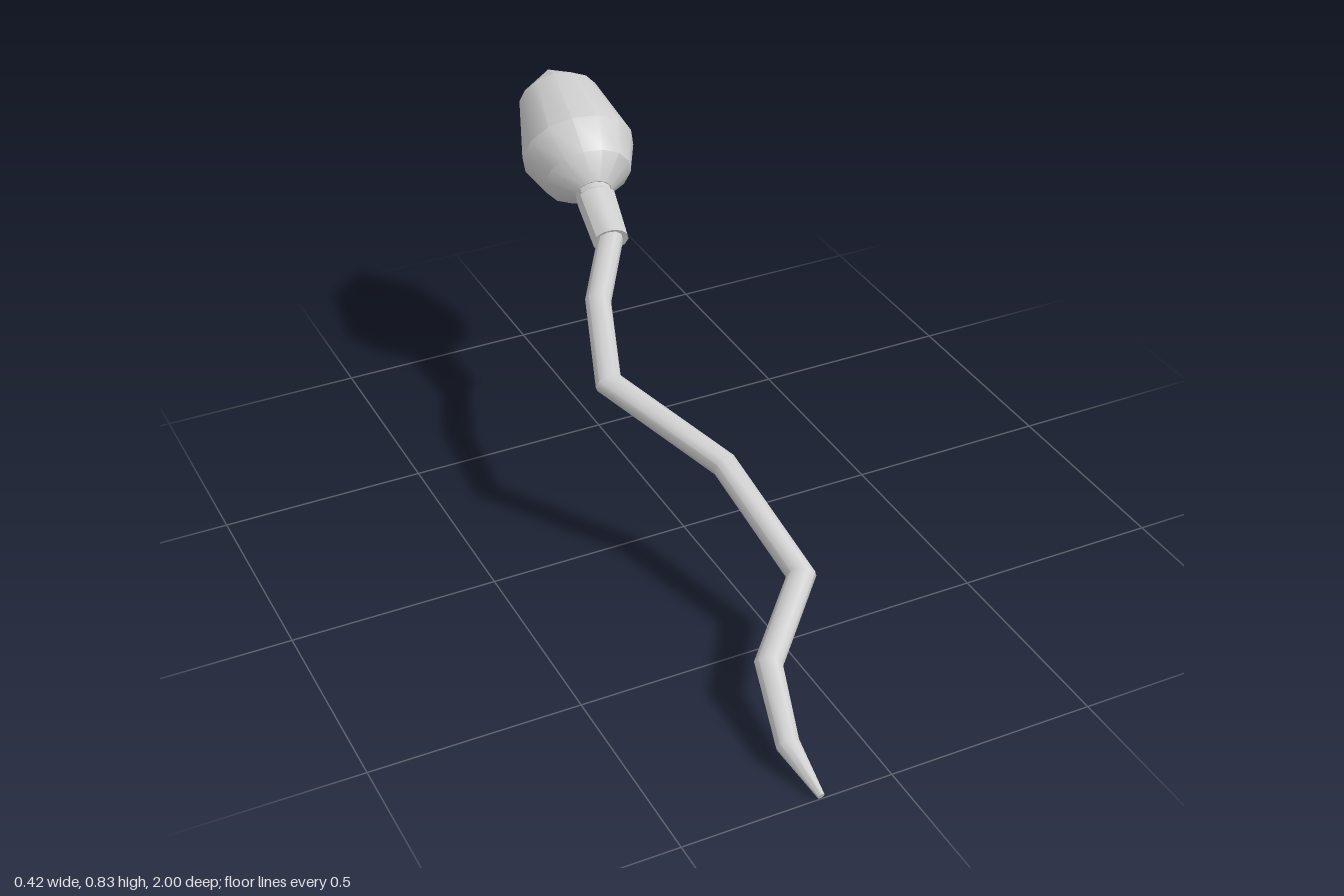
import * as THREE from 'three';
import { toCreasedNormals } from 'three/addons/utils/BufferGeometryUtils.js';

const V = (x, y, z) => new THREE.Vector3(x, y, z);
// normal of the slanted plane the whole body lies in
const planeUp = V(0, 0.93, 0.366).normalize();

// Skin a row of elliptical rings: { c: centre, d: axis, w: half width, h: half height }
function loft(name, rings, sides, crease) {
  const pts = rings.map(({ c, d, w, h }) => {
    const u = d.clone().cross(planeUp).normalize();
    const v = u.clone().cross(d).normalize();
    return Array.from({ length: sides }, (_, j) => {
      const a = (j / sides) * Math.PI * 2;
      return c.clone().addScaledVector(u, w * Math.cos(a)).addScaledVector(v, -h * Math.sin(a));
    });
  });
  const pos = [];
  const tri = (...p) => p.forEach((q) => pos.push(q.x, q.y, q.z));
  for (let i = 0; i < rings.length - 1; i++) {
    for (let j = 0; j < sides; j++) {
      const k = (j + 1) % sides;
      if (rings[i].w > 0) tri(pts[i][j], pts[i][k], pts[i + 1][j]);
      if (rings[i + 1].w > 0) tri(pts[i][k], pts[i + 1][k], pts[i + 1][j]);
    }
  }
  const geo = new THREE.BufferGeometry();
  geo.setAttribute('position', new THREE.Float32BufferAttribute(pos, 3));
  const mesh = new THREE.Mesh(toCreasedNormals(geo, crease),
    new THREE.MeshStandardMaterial({ color: 0xcccccc }));
  mesh.name = name;
  return mesh;
}

// Rings along a straight axis; profile rows are [distance, half width, half height]
function straight(name, from, to, profile, sides, crease) {
  const d = to.clone().sub(from).normalize();
  const rings = profile.map(([s, w, h]) => ({ c: from.clone().addScaledVector(d, s), d, w, h }));
  return loft(name, rings, sides, crease);
}

// Zigzag tail with mitred bends and a tapered tip
function makeTail() {
  const path = [[-0.172, 1.0], [-0.183, 0.87], [-0.135, 0.69], [0.037, 0.52], [0, 0.21],
    [-0.163, -0.07], [-0.087, -0.29], [0.02, -0.45], [0.03, -0.52]]
    .map(([x, z], i) => V(x, i === 0 ? 0.009 : 0.055 + (0.87 - z) * 0.393, z));
  const rings = path.map((c, i) => {
    const before = c.clone().sub(path[Math.max(i - 1, 0)]).normalize();
    const after = path[Math.min(i + 1, path.length - 1)].clone().sub(c).normalize();
    const d = before.clone().add(after).normalize();
    const mitre = Math.max(d.dot(after), d.dot(before));
    const r = i === 0 ? 0.008 : i === 1 ? 0.026 : 0.03;
    return { c, d, w: (r * 1.05) / mitre, h: r };
  });
  rings.unshift({ ...rings[0], w: 0, h: 0 });
  return loft('tail', rings, 10, 0.66);
}

export function createModel() {
  const group = new THREE.Group();
  group.name = 'model';
  group.add(makeTail());

  // sleeve joining tail and head, with a narrower collar at its upper end
  group.add(straight('neck', V(0.021, 0.57, -0.45), V(0.045, 0.628, -0.6), [
    [0, 0, 0], [0, 0.046, 0.039], [0.14, 0.051, 0.043], [0.147, 0.044, 0.037], [0.2, 0.044, 0.037], [0.2, 0, 0],
  ], 12, 0.55));

  // egg-shaped head with a pointed far end
  group.add(straight('head', V(0.045, 0.626, -0.601), V(0.1, 0.783, -1.0), [
    [0, 0, 0], [0, 0.047, 0.041], [0.052, 0.113, 0.099], [0.142, 0.147, 0.128], [0.332, 0.104, 0.089], [0.432, 0, 0],
  ], 14, 0.53));
  return group;
}
